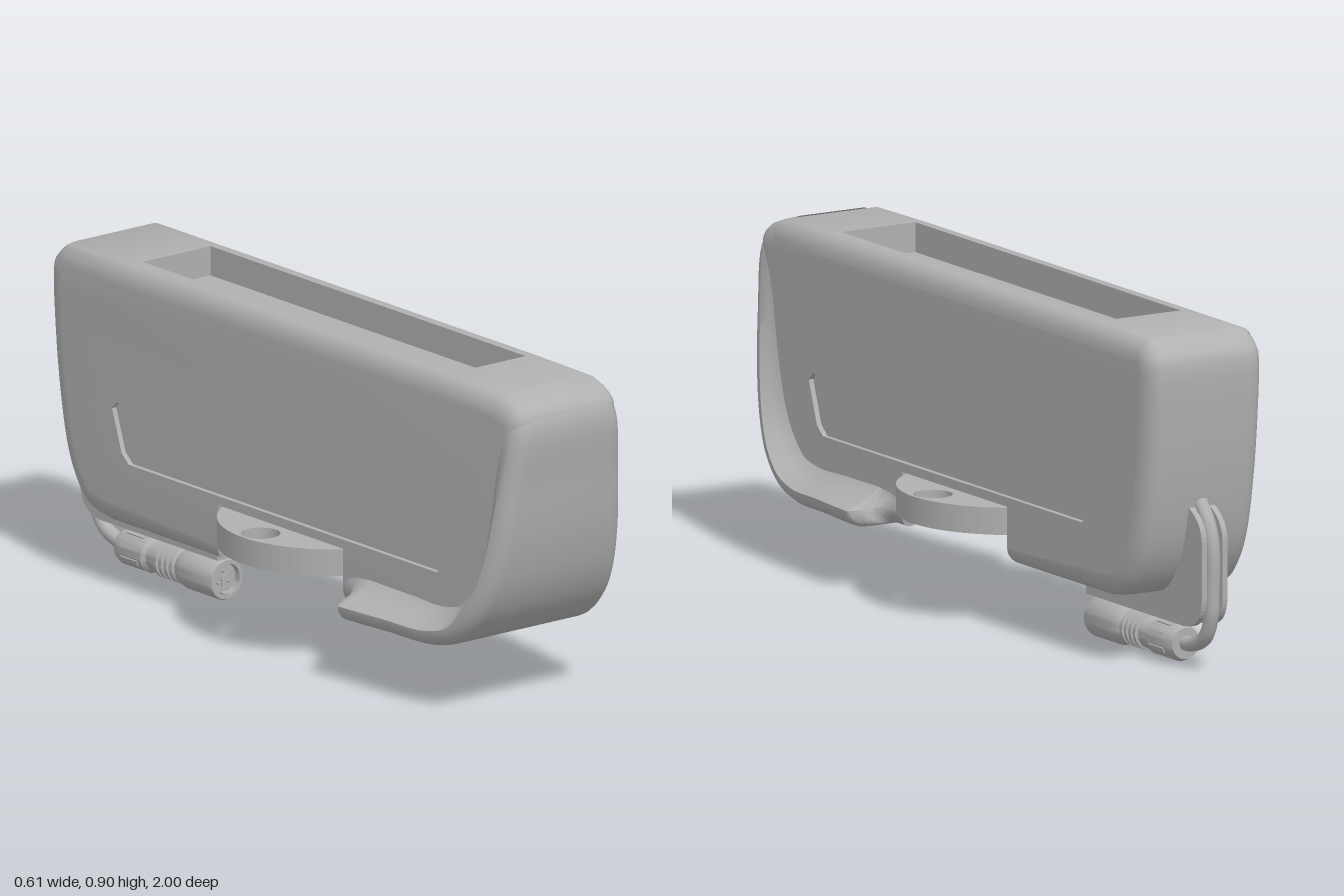
import * as THREE from 'three';
import { mergeGeometries, toCreasedNormals } from 'three/addons/utils/BufferGeometryUtils.js';

const grey = new THREE.MeshStandardMaterial({ color: 0xb0b0b0, side: THREE.DoubleSide });
grey.name = 'plain grey';
const V2 = (x, y) => new THREE.Vector2(x, y);
const V3 = (x, y, z) => new THREE.Vector3(x, y, z);
const CENTRE_Z = 0.01; // axis of the mounting flange

// Skin a list of closed rings; keep(i, j) can leave out quads.
function loft(rings, keep = () => true) {
  const n = rings[0].length, index = [];
  for (let i = 0; i < rings.length - 1; i++) {
    for (let j = 0; j < n; j++) {
      if (!keep(i, j)) continue;
      const a = i * n + j, b = i * n + (j + 1) % n;
      index.push(a, b, a + n, b, b + n, a + n);
    }
  }
  const g = new THREE.BufferGeometry().setFromPoints(rings.flat());
  g.setIndex(index);
  return g;
}

// Flat shape drawn in (z, y), placed at a given x.
function sidePlate(points, x, hole) {
  const shape = new THREE.Shape(points);
  if (hole) shape.holes.push(new THREE.Path(hole));
  return new THREE.ShapeGeometry(shape).rotateY(-Math.PI / 2).translate(x, 0, 0);
}

function merged(geometries, crease) {
  const bare = geometries.map(g => {
    const f = g.index ? g.toNonIndexed() : g;
    f.deleteAttribute('uv');
    f.deleteAttribute('normal');
    return f;
  });
  return toCreasedNormals(mergeGeometries(bare), crease);
}

function add(parent, name, geometry, x = 0, y = 0, z = 0) {
  const mesh = new THREE.Mesh(geometry, grey);
  mesh.name = name;
  mesh.position.set(x, y, z);
  parent.add(mesh);
  return mesh;
}

// Inward normal of a clockwise path in (z, y).
function inward(prev, next) {
  return V2(next.y - prev.y, prev.x - next.x).normalize();
}

// Front edge: z, y and the half width of the flared shell.
const frontEdge = [[0.9, 0.897, 0.14], [0.965, 0.872, 0.162], [0.995, 0.82, 0.175], [0.98, 0.65, 0.197],
  [0.955, 0.48, 0.215], [0.92, 0.36, 0.228], [0.87, 0.275, 0.24], [0.8, 0.21, 0.247], [0.7, 0.181, 0.256]];
const backEdge = [[-0.72, 0.18], [-0.81, 0.2], [-0.87, 0.265], [-0.91, 0.36], [-0.938, 0.5],
  [-0.956, 0.65], [-0.965, 0.82], [-0.94, 0.872], [-0.9, 0.9]];

function bodyGeometry() {
  const spline = pts => new THREE.SplineCurve(pts.map(p => V2(p[0], p[1]))).getPoints(32);
  const front = spline(frontEdge), back = spline(backEdge);
  const notch = [V2(0.3, 0.18), V2(0.3, 0.335), V2(-0.28, 0.335), V2(-0.28, 0.18)];
  const profile = [V2(0.67, 0.9), ...front, ...notch, ...back, V2(-0.64, 0.9)];
  const n = profile.length, firstNotch = front.length + 1;

  // Outline at a given x; the notch follows the round flange.
  const outline = (x, inset) => profile.map((p, i) => {
    const k = i - firstNotch, isNotch = k >= 0 && k < 4;
    if (isNotch) {
      const dz = Math.sqrt(0.315 ** 2 - x * x);
      return V2(CENTRE_Z + (k < 2 ? dz : -dz), p.y + (k === 0 || k === 3 ? inset * 0.7 : 0));
    }
    const dir = inward(profile[(i + n - 1) % n], profile[(i + 1) % n]);
    return p.clone().addScaledVector(dir, inset);
  });

  const half = [];
  for (let k = 0; k <= 6; k++) {
    const t = k / 6 * Math.PI / 2;
    half.push([0.135 + 0.043 * Math.sin(t), 0.06 * (1 - Math.cos(t))]);
  }
  const stations = [...half.slice().reverse().map(([x, d]) => [-x, d]),
    [-0.115, 0], [-0.05, 0], [0.05, 0], [0.115, 0], ...half];
  const rings = stations.map(([x, d]) => outline(x, d).map(p => V3(x, p.y, p.x)));
  // The middle of the top stays open for the pocket.
  const skin = loft(rings, (i, j) => !(j === n - 1 && i >= 7 && i <= 9));

  // Flat sides with a shallow sunken panel.
  const panel = [[0.71, 0.52], [0.73, 0.5], [0.69, 0.385], [0.66, 0.36],
    [-0.62, 0.36], [-0.65, 0.385], [-0.69, 0.5], [-0.67, 0.52]].map(p => V2(...p));
  const parts = [skin];
  for (const s of [-1, 1]) {
    const x = s * 0.178, floor = s * 0.164;
    parts.push(sidePlate(outline(x, 0.06), x, panel), sidePlate(panel, floor),
      loft([x, floor].map(q => panel.map(p => V3(q, p.y, p.x)))));
  }
  // Pocket walls and floor.
  const pocket = y => [V3(-0.115, y, -0.64), V3(0.115, y, -0.64), V3(0.115, y, 0.67), V3(-0.115, y, 0.67)];
  parts.push(loft([pocket(0.9), pocket(0.82)]),
    new THREE.PlaneGeometry(0.23, 1.31).rotateX(-Math.PI / 2).translate(0, 0.82, 0.015));
  return merged(parts, 0.6);
}

// Flared shell wrapping the front and running back as a ledge to the flange.
function flareGeometry() {
  const tail = [[0.55, 0.18, 0.268], [0.41, 0.18, 0.281], [0.37, 0.18, 0.28], [0.345, 0.185, 0.25],
    [0.325, 0.19, 0.2], [0.275, 0.19, 0.18]];
  const path = new THREE.CatmullRomCurve3([...frontEdge, ...tail].map(p => V3(...p))).getPoints(90);
  const rings = path.map((p, i) => {
    const dir = inward(path[Math.max(i - 1, 0)], path[Math.min(i + 1, 90)]);
    const w = p.z, d = 0.1, r = 0.045, half = [];
    for (let k = 0; k <= 6; k++) {
      const t = k / 6 * Math.PI / 2;
      half.push([w - r + r * Math.sin(t), r * (1 - Math.cos(t)) - 0.003]);
    }
    const inner = Math.min(w, 0.172);
    for (const t of [0.33, 0.66, 1]) half.push([inner + (w - inner) * (1 - t) ** 1.6, r + (d - r) * t]);
    const mirror = half.slice().reverse().map(([x, q]) => [-x, q]);
    return [...mirror, ...half].map(([x, q]) => {
      let z = p.x + dir.x * q;
      if (Math.abs(x) < 0.315) z = Math.max(z, CENTRE_Z + Math.sqrt(0.315 ** 2 - x * x));
      return V3(x, p.y + dir.y * q, z);
    });
  });
  const last = rings[rings.length - 1];
  const middle = V3(0, 0.24, 0.325);
  rings.push(last.map(() => middle.clone()));
  return merged([loft(rings)], 0.7);
}

function disc(radius, holes, depth) {
  const shape = new THREE.Shape().absarc(0, 0, radius, 0, Math.PI * 2);
  for (const [x, z, r] of holes) shape.holes.push(new THREE.Path().absarc(x, -z, r, 0, Math.PI * 2, true));
  return new THREE.ExtrudeGeometry(shape, { depth, bevelEnabled: false, curveSegments: 48 }).rotateX(-Math.PI / 2);
}

function buildFlange(root) {
  const g = new THREE.Group();
  g.name = 'mountingFlange';
  g.position.z = CENTRE_Z;
  const x = 0.245;
  add(g, 'flangeLower', disc(0.305, [[x, 0, 0.032], [-x, 0, 0.032], [0.146, 0.146, 0.025]], 0.04), 0, 0.257, 0);
  add(g, 'flangeUpper', disc(0.305, [[x, 0, 0.052], [-x, 0, 0.052]], 0.033), 0, 0.297, 0);
  add(g, 'centreBoss', new THREE.CylinderGeometry(0.155, 0.148, 0.025, 48), 0, 0.247, 0);
  root.add(g);
}

function buildCableGuard(root) {
  const guard = back => {
    const s = new THREE.Shape();
    s.moveTo(-0.42, 0.117);
    s.lineTo(back + 0.09, 0.117);
    s.quadraticCurveTo(back, 0.12, back, 0.21);
    s.lineTo(back, 0.35);
    s.quadraticCurveTo(back, 0.41, -0.925, 0.44);
    s.lineTo(-0.85, 0.3);
    s.lineTo(-0.72, 0.22);
    s.lineTo(-0.42, 0.22);
    return s;
  };
  const slab = (back, width) => new THREE.ExtrudeGeometry(guard(back), { depth: width, bevelEnabled: false })
    .rotateY(-Math.PI / 2).translate(width / 2, 0, 0);
  add(root, 'cableGuardCore', slab(-0.965, 0.05));
  for (const s of [-1, 1]) add(root, 'cableGuardCheek', slab(-0.992, 0.016), s * 0.032, 0, 0);
  const path = new THREE.CatmullRomCurve3([V3(0, 0.058, -0.82), V3(0, 0.06, -0.88), V3(0, 0.09, -0.945),
    V3(0, 0.15, -0.975), V3(0, 0.22, -0.98), V3(0, 0.34, -0.98), V3(0, 0.4, -0.96), V3(0, 0.45, -0.92)]);
  add(root, 'cable', new THREE.TubeGeometry(path, 50, 0.02, 14));
}

function buildConnector(root) {
  const g = new THREE.Group();
  g.name = 'cableConnector';
  g.position.set(0, 0.056, 0);
  // Radius and z of the turned shell, from the socket floor to the cable end.
  const profile = [[0, -0.45], [0.043, -0.45], [0.043, -0.43], [0.053, -0.43], [0.056, -0.437], [0.056, -0.56],
    [0.05, -0.585], [0.044, -0.595]];
  for (let k = 0; k < 4; k++) {
    const z = -0.6 - k * 0.022;
    profile.push([0.05, z], [0.05, z - 0.012], [0.043, z - 0.014], [0.043, z - 0.02]);
  }
  profile.push([0.04, -0.7], [0.04, -0.72], [0.05, -0.73], [0.05, -0.83], [0.042, -0.85], [0, -0.85]);
  const shell = new THREE.LatheGeometry(profile.map(p => V2(...p)), 36).rotateX(Math.PI / 2);
  add(g, 'connectorShell', merged([shell], 0.5));
  for (let k = 0; k < 3; k++) {
    const a = Math.PI / 2 + k * Math.PI * 2 / 3;
    const bar = add(g, 'socketRib', new THREE.BoxGeometry(0.024, 0.009, 0.006),
      -Math.cos(a) * 0.012, -Math.sin(a) * 0.012, -0.448);
    bar.rotation.z = a;
    add(g, 'socketPin', new THREE.CylinderGeometry(0.004, 0.004, 0.014, 10).rotateX(Math.PI / 2),
      Math.cos(a) * 0.02, Math.sin(a) * 0.02, -0.445);
  }
  add(g, 'socketKey', new THREE.BoxGeometry(0.016, 0.008, 0.018), 0, -0.041, -0.44);
  for (let k = 0; k < 8; k++) {
    const a = (k + 0.5) * Math.PI / 4;
    const grip = add(g, 'gripRidge', new THREE.BoxGeometry(0.006, 0.014, 0.07),
      Math.cos(a) * 0.05, Math.sin(a) * 0.05, -0.78);
    grip.rotation.z = a;
  }
  root.add(g);
}

export function createModel() {
  const root = new THREE.Group();
  root.name = 'handheldDock';
  add(root, 'body', bodyGeometry());
  add(root, 'flaredFrontShell', flareGeometry());
  buildFlange(root);
  buildCableGuard(root);
  buildConnector(root);
  return root;
}
